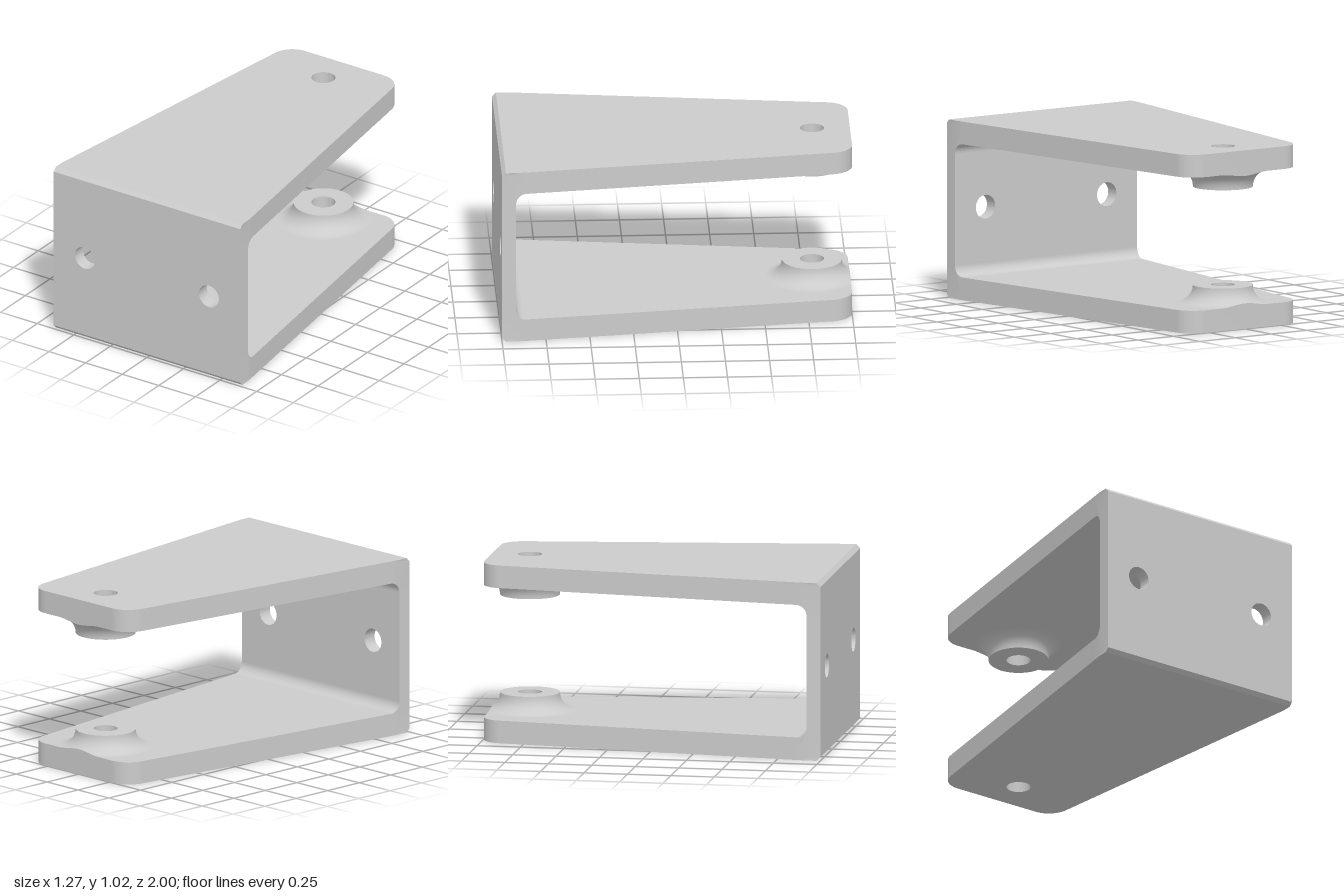
import * as THREE from 'three';
import { toCreasedNormals } from 'three/addons/utils/BufferGeometryUtils.js';

const HEIGHT = 1.022, PLATE = 0.13, WALL_BACK = 0.92, SPLIT = 0.86, HALF = 0.637;
const BORE = 0.068, BORE_Z = -0.785;
const material = new THREE.MeshStandardMaterial({ color: 0xcccccc });

// half width of the tapering plan at depth z
const halfWidth = (z) => Math.min(HALF, 0.399 + (z + 0.887) * 0.132);

function part(name, geometry) {
  const mesh = new THREE.Mesh(toCreasedNormals(geometry, 0.5), material);
  mesh.name = name;
  return mesh;
}

function roundHole(x, y, r) {
  return new THREE.Path().absarc(x, y, r, 0, Math.PI * 2, true);
}

function extrude(shape, depth) {
  return new THREE.ExtrudeGeometry(shape, { depth, bevelEnabled: false, curveSegments: 24 });
}

// tapered arm with two rounded corners and a bore
function armPlate() {
  const w = halfWidth(SPLIT), tilt = 0.131;
  const s = new THREE.Shape();
  s.moveTo(-w, -SPLIT);
  s.lineTo(w, -SPLIT);
  s.absarc(0.27, 0.87, 0.13, tilt, Math.PI / 2);
  s.absarc(-0.27, 0.87, 0.13, Math.PI / 2, Math.PI - tilt);
  s.closePath();
  s.holes.push(roundHole(0, -BORE_Z, BORE));
  return part('armPlate', extrude(s, PLATE).rotateX(-Math.PI / 2));
}

// bend between arm and wall: chamfered outside, filleted inside
function cornerBend() {
  const r = WALL_BACK - SPLIT, chamfer = 0.022;
  const s = new THREE.Shape();
  s.moveTo(SPLIT, 0);
  s.lineTo(WALL_BACK, 0);
  s.lineTo(1 - chamfer, 0);
  s.lineTo(1, chamfer);
  s.lineTo(1, PLATE + r);
  s.lineTo(WALL_BACK, PLATE + r);
  s.absarc(SPLIT, PLATE + r, r, 0, -Math.PI / 2, true);
  s.closePath();
  const g = extrude(s, 1).translate(0, 0, -0.5).rotateY(-Math.PI / 2);
  // the ends follow the plan taper
  const p = g.attributes.position;
  for (let i = 0; i < p.count; i++) p.setX(i, p.getX(i) * 2 * halfWidth(p.getZ(i)));
  return part('cornerBend', g);
}

// bored boss with a flared foot, trimmed flush with the arm's back edge
function boss() {
  const flare = 0.1, rim = 0.17, foot = rim + flare, top = PLATE + flare;
  const profile = [new THREE.Vector2(foot, PLATE)];
  for (let i = 0; i <= 12; i++) {
    const t = (i / 12) * Math.PI / 2;
    profile.push(new THREE.Vector2(foot - flare * Math.sin(t), top - flare * Math.cos(t)));
  }
  profile.push(new THREE.Vector2(BORE, top), new THREE.Vector2(BORE, PLATE));
  const g = new THREE.LatheGeometry(profile, 96);
  const p = g.attributes.position, limit = -1 - BORE_Z;
  for (let i = 0; i < p.count; i++) {
    if (p.getZ(i) >= limit) continue;
    const k = limit / p.getZ(i);
    const x = p.getX(i) * k, r = Math.hypot(x, limit);
    // ring 0 stays on the plate, closing the trimmed side
    const y = i % profile.length === 0
      ? PLATE
      : top - Math.sqrt(Math.max(0, flare ** 2 - (foot - r) ** 2));
    p.setXYZ(i, x, y, limit);
  }
  return part('boss', g.translate(0, 0, BORE_Z));
}

function arm(name) {
  const group = new THREE.Group();
  group.name = name;
  group.add(armPlate(), cornerBend(), boss());
  return group;
}

// front wall with two mounting holes
function frontWall() {
  const y0 = PLATE + WALL_BACK - SPLIT, y1 = HEIGHT - y0;
  const s = new THREE.Shape();
  s.moveTo(-HALF, y0);
  s.lineTo(HALF, y0);
  s.lineTo(HALF, y1);
  s.lineTo(-HALF, y1);
  s.closePath();
  for (const side of [-1, 1]) s.holes.push(roundHole(side * 0.424, HEIGHT / 2, BORE));
  return part('frontWall', extrude(s, 1 - WALL_BACK).translate(0, 0, WALL_BACK));
}

export function createModel() {
  const model = new THREE.Group();
  model.name = 'clevisBracket';
  const lower = arm('lowerArm'), upper = arm('upperArm');
  // the upper arm is the lower one turned over
  upper.rotation.z = Math.PI;
  upper.position.y = HEIGHT;
  model.add(frontWall(), lower, upper);
  return model;
}
